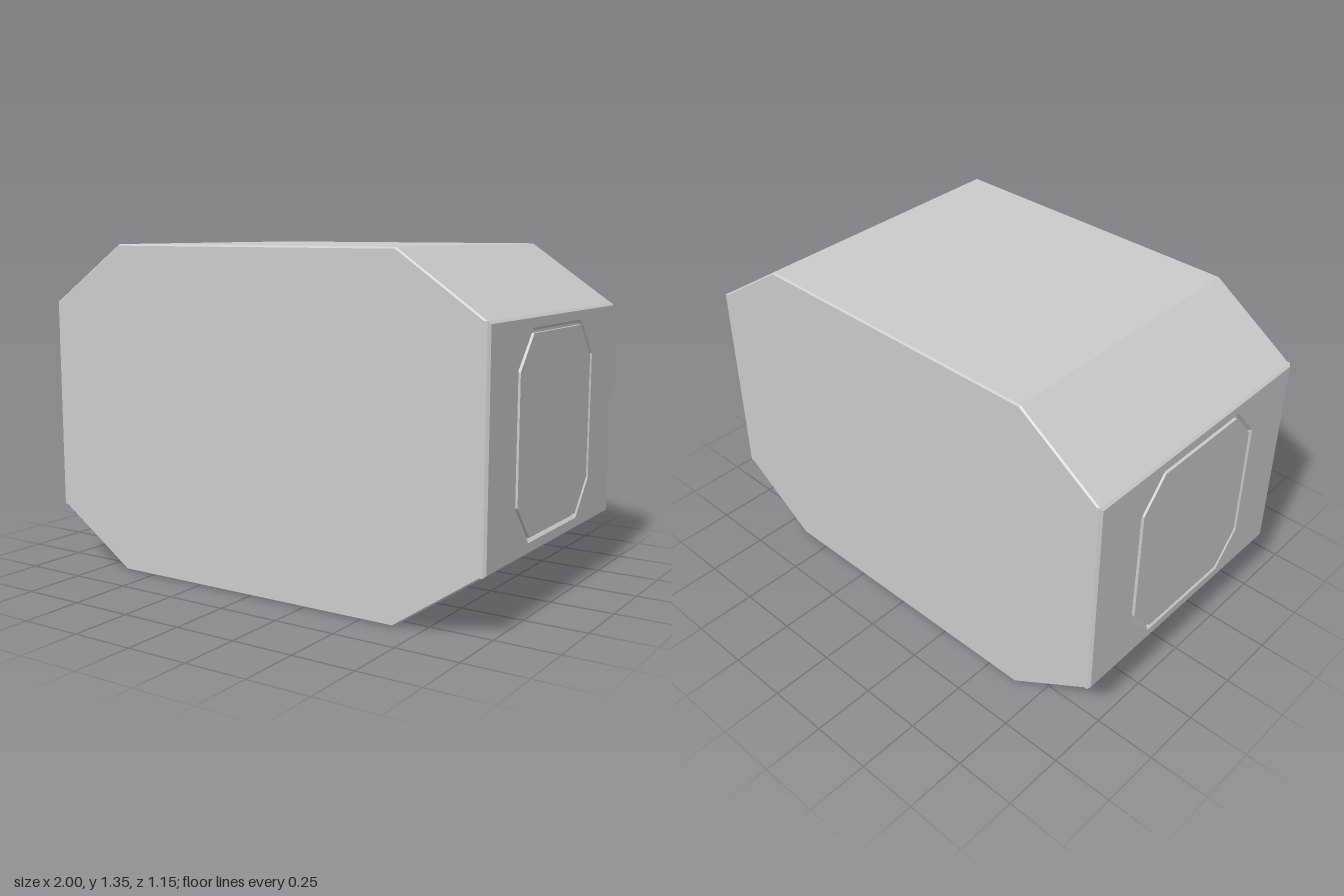
import * as THREE from 'three';

const material = new THREE.MeshStandardMaterial({ color: 0xcccccc, flatShading: true });
const MID = 0.6725; // height of the centre line

// Rectangle with cut corners, shrunk evenly by d
function octagon(w, h, cutX, cutY, d = 0) {
  const a = w - d, b = h - d, cx = cutX - 0.6 * d, cy = cutY - 0.6 * d;
  return [
    [a - cx, -b], [a, -b + cy], [a, b - cy], [a - cx, b],
    [-a + cx, b], [-a, b - cy], [-a, -b + cy], [-a + cx, -b],
  ].map(([x, y]) => new THREE.Vector2(x, y));
}

function part(name, shape, options, z) {
  const geometry = new THREE.ExtrudeGeometry(shape, { bevelEnabled: false, ...options });
  geometry.translate(0, 0, z);
  const mesh = new THREE.Mesh(geometry, material);
  mesh.name = name;
  return mesh;
}

export function createModel() {
  const model = new THREE.Group();
  model.name = 'octagonalPod';

  // Main hull: eight-sided profile with a fine chamfer front and back
  const b = 0.006;
  const hull = part('hull', new THREE.Shape(octagon(0.988, MID, 0.348, 0.237)), {
    depth: 1.15 - 2 * b, bevelEnabled: true, bevelSegments: 1,
    bevelSize: b, bevelThickness: b, bevelOffset: -b,
  }, -0.575 + b);
  hull.position.y = MID;
  model.add(hull);

  // Each end: chamfered wall plate with an eight-sided opening and a flush hatch
  for (const side of [1, -1]) {
    const end = new THREE.Group();
    end.name = side > 0 ? 'leftEnd' : 'rightEnd';

    const plate = new THREE.Shape([
      [-0.565, -0.4255], [0.565, -0.4255], [0.565, 0.4255], [-0.565, 0.4255],
    ].map(([x, y]) => new THREE.Vector2(x, y)));
    plate.holes.push(new THREE.Path(octagon(0.345, 0.39, 0.12, 0.14).reverse()));
    end.add(part('endWall', plate, {
      depth: 0.01, bevelEnabled: true, bevelSegments: 1, bevelSize: 0.01, bevelThickness: 0.01,
    }, 0.98));

    const hatch = new THREE.Shape(octagon(0.345, 0.39, 0.12, 0.14, 0.02));
    end.add(part('hatch', hatch, { depth: 0.02 }, 0.98));

    end.rotation.y = side * Math.PI / 2;
    end.position.y = MID;
    model.add(end);
  }
  return model;
}
